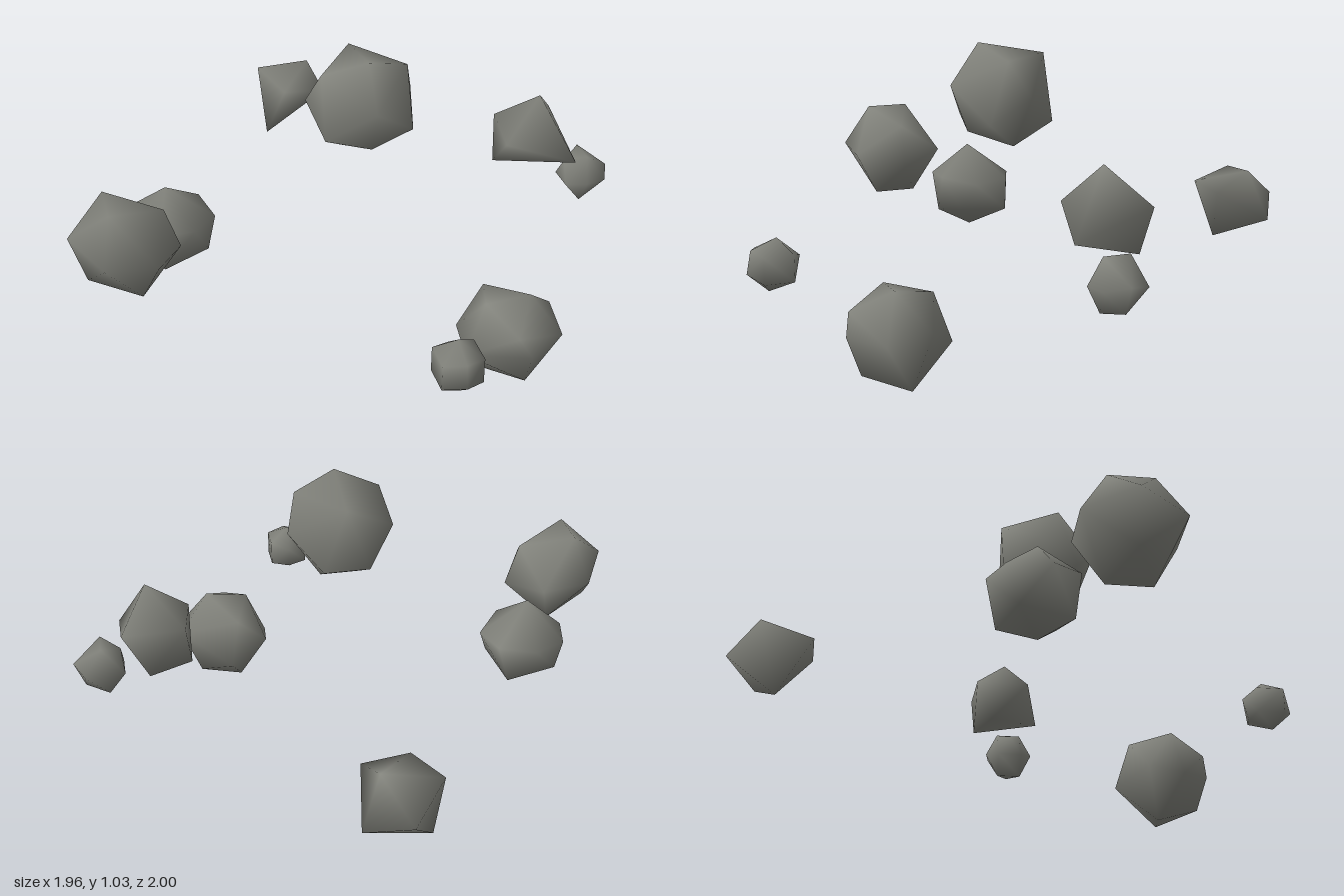
import * as THREE from 'three';
import { mergeVertices } from 'three/addons/utils/BufferGeometryUtils.js';
import { ConvexGeometry } from 'three/addons/geometries/ConvexGeometry.js';

// Adds the mirror image of each corner across a plane on the given axis
function mirrored(axis, plane, corners) {
  return corners.flatMap((c) => {
    const m = [...c];
    m[axis] = 2 * plane - c[axis];
    return Math.abs(m[axis] - c[axis]) < 0.002 ? [c] : [c, m];
  });
}

export function createModel() {
  const group = new THREE.Group();
  const stone = new THREE.MeshStandardMaterial({ color: 0x82837c });
  stone.name = 'greyStone';

  // A convex, smooth-shaded rock spanned by a few corners
  function rock(name, corners) {
    const hull = new ConvexGeometry(corners.map((c) => new THREE.Vector3(...c)));
    hull.deleteAttribute('normal');
    const geometry = mergeVertices(hull, 1e-4);
    geometry.computeVertexNormals();
    const mesh = new THREE.Mesh(geometry, stone);
    mesh.name = name;
    group.add(mesh);
  }

  // Highest rock, symmetric in x
  rock('topRock', mirrored(0, 0.034, [
    [0.034, 1.04, 0.18], [0.034, 0.995, -0.058], [0.034, 0.9, 0.28], [0.034, 0.74, 0.22],
    [0.181, 0.99, 0.13], [0.217, 0.87, 0.06], [0.185, 0.78, 0.195],
    [0.102, 0.69, 0.08], [0.113, 0.77, -0.058],
  ]));

  // Large rock on the right, symmetric in z
  rock('largeRightRock', mirrored(2, 0.235, [
    [-0.85, 0.695, 0.31], [-0.765, 0.367, 0.31], [-0.717, 0.53, 0.4], [-0.886, 0.55, 0.4],
    [-0.62, 0.49, 0.235], [-0.98, 0.586, 0.235], [-0.667, 0.64, 0.235], [-0.93, 0.414, 0.235],
  ]));

  // Rock touching the large right one
  rock('innerRightRock', [
    [-0.625, 0.56, -0.02], [-0.61, 0.246, -0.02],
    [-0.615, 0.44, -0.18], [-0.495, 0.44, -0.13], [-0.463, 0.43, 0.005], [-0.553, 0.45, 0.11],
    [-0.67, 0.45, 0.11], [-0.765, 0.43, 0.01], [-0.73, 0.44, -0.13],
    [-0.5, 0.33, 0.05], [-0.53, 0.31, -0.14], [-0.72, 0.31, -0.09], [-0.66, 0.3, 0.09],
  ]);

  // Pointed shard at the back
  rock('backShard', [
    [0.013, 0.417, -1.0], [0.12, 0.46, -0.71], [-0.04, 0.475, -0.705], [0.155, 0.35, -0.905],
    [-0.105, 0.505, -0.885], [-0.09, 0.24, -0.82], [0.09, 0.525, -0.855],
  ]);

  // Small pebble at the front, symmetric in x
  rock('frontPebble', mirrored(0, 0.102, [
    [0.102, 0.455, 0.9], [0.102, 0.279, 0.93], [0.102, 0.39, 0.826], [0.102, 0.342, 1.0],
    [0.102, 0.42, 0.985], [0.102, 0.31, 0.845],
    [0.17, 0.41, 0.958], [0.17, 0.41, 0.86], [0.17, 0.32, 0.958], [0.17, 0.32, 0.86],
  ]));

  // Lowest rock
  rock('lowRock', [
    [0.463, 0.345, 0.62], [0.31, 0.33, 0.61], [0.36, 0.295, 0.46],
    [0.42, 0.2, 0.765], [0.38, 0.27, 0.745], [0.42, 0.07, 0.72],
    [0.574, 0.23, 0.534], [0.563, 0.2, 0.677], [0.394, 0.134, 0.41],
    [0.238, 0.152, 0.635], [0.25, 0.18, 0.508], [0.5, 0.026, 0.58], [0.348, 0.005, 0.555],
  ]);

  // Angular shard on the left
  rock('leftShard', [
    [0.71, 0.743, 0.035], [0.805, 0.62, -0.088], [0.805, 0.53, 0.173], [0.563, 0.605, 0.11],
    [0.572, 0.46, -0.03], [0.59, 0.62, -0.085], [0.72, 0.453, -0.085],
  ]);

  // Small pebble beside the left shard, symmetric in z
  rock('leftPebble', mirrored(2, 0.07, [
    [0.976, 0.435, 0.07], [0.94, 0.345, 0.07], [0.81, 0.48, 0.07],
    [0.877, 0.508, 0.115], [0.802, 0.403, 0.115], [0.86, 0.33, 0.115],
    [0.865, 0.42, 0.16], [0.94, 0.42, 0.145],
  ]));

  return group;
}
